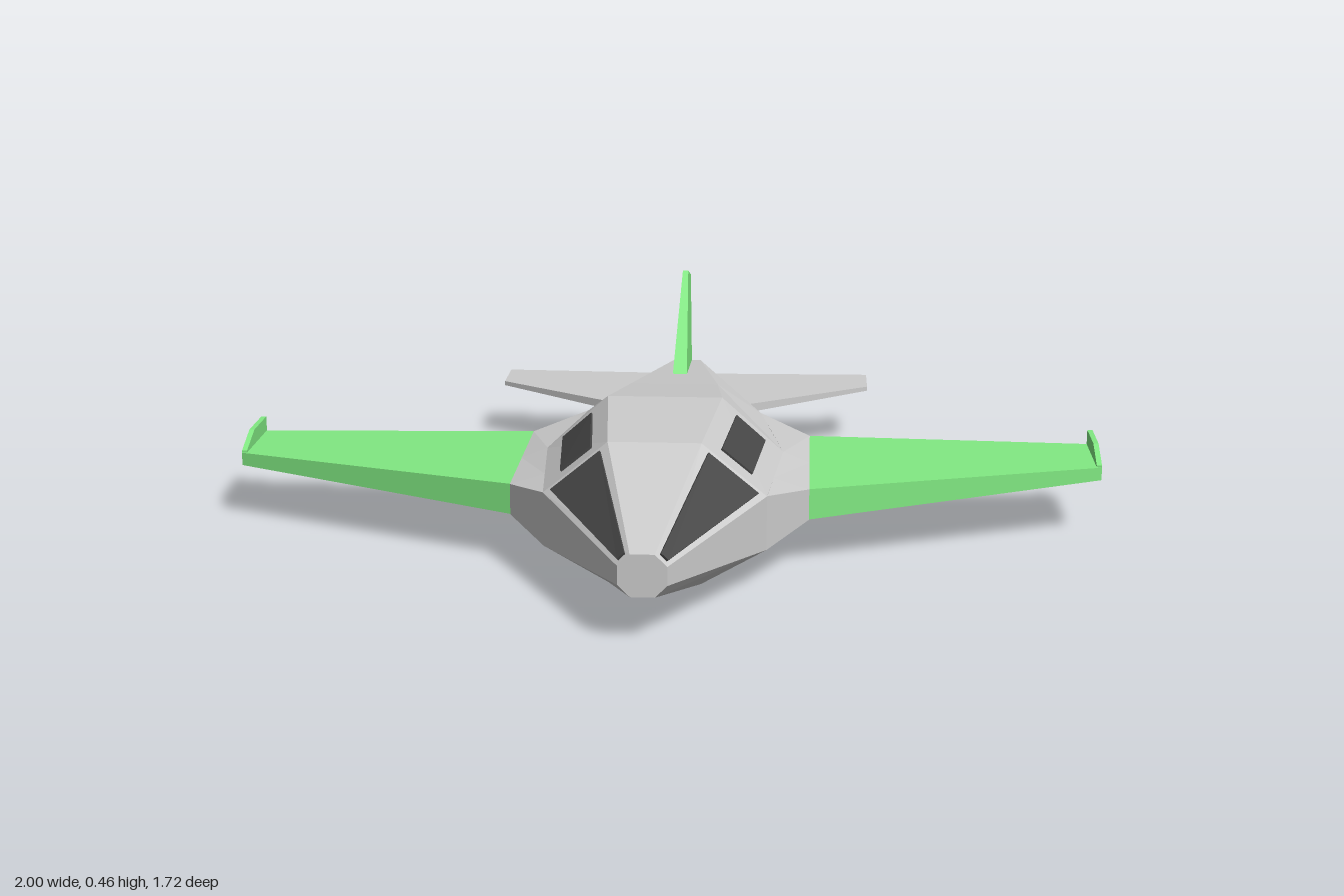
import * as THREE from 'three';

const GREY = 0xcccccc, GREEN = 0x81e982, GLASS = 0x474747;

// Flat-shaded closed solid through rings of equal point count, facing outward.
function loft(name, color, rings) {
  const tris = [], n = rings[0].length, last = rings.length - 1;
  for (let i = 0; i < last; i++) {
    for (let j = 0; j < n; j++) {
      const k = (j + 1) % n, a = rings[i], b = rings[i + 1];
      tris.push([a[j], a[k], b[k]], [a[j], b[k], b[j]]);
    }
  }
  for (let j = 1; j < n - 1; j++) {
    tris.push([rings[0][0], rings[0][j + 1], rings[0][j]]);
    tris.push([rings[last][0], rings[last][j], rings[last][j + 1]]);
  }
  // A negative volume means the faces point inward
  const v = (p) => new THREE.Vector3(...p);
  const c = v(rings[0][0]);
  let volume = 0;
  for (const t of tris) {
    const [p, q, r] = t.map((x) => v(x).sub(c));
    volume += p.dot(q.cross(r));
  }
  if (volume < 0) tris.forEach((t) => t.reverse());

  const geo = new THREE.BufferGeometry();
  geo.setAttribute('position', new THREE.Float32BufferAttribute(tris.flat(2), 3));
  geo.computeVertexNormals();
  const mesh = new THREE.Mesh(geo, new THREE.MeshStandardMaterial({ color, flatShading: true }));
  mesh.name = name;
  return mesh;
}

// Fuselage stations: z, side half-width, roof half-width, bottom, lower edge, upper edge, top
const STATIONS = [
  [0.86, 0.05, 0.025, 0.1, 0.125, 0.165, 0.19],
  [0.5, 0.24, 0.1, 0.005, 0.085, 0.205, 0.32],
  [0.15, 0.27, 0.13, 0, 0.085, 0.205, 0.33],
  [-0.21, 0.21, 0.105, 0.025, 0.105, 0.2, 0.27],
  [-0.79, 0.06, 0.035, 0.1, 0.125, 0.165, 0.19],
];

const octagon = ([z, w, r, y0, y1, y2, y3]) => [
  [r, y0, z], [w, y1, z], [w, y2, z], [r, y3, z],
  [-r, y3, z], [-w, y2, z], [-w, y1, z], [-r, y0, z],
];

// Thin pane on the sloping upper panel between stations i and i + 1;
// corners are [along the panel, up the panel], each 0 to 1.
function pane(name, s, i, corners) {
  const [a, b] = [STATIONS[i], STATIONS[i + 1]].map(([z, w, r, , , y2, y3]) =>
    [new THREE.Vector3(w, y2, z), new THREE.Vector3(r, y3, z)]);
  const pts = corners.map(([u, t]) =>
    a[0].clone().lerp(a[1], t).lerp(b[0].clone().lerp(b[1], t), u));
  const normal = pts[2].clone().sub(pts[0]).cross(pts[3].clone().sub(pts[1])).normalize();
  if (normal.x < 0) normal.negate();
  const ring = (d) => pts.map((p) => {
    const q = p.clone().addScaledVector(normal, d);
    return [s * q.x, q.y, q.z];
  });
  return loft(name, GLASS, [ring(-0.006), ring(0.005)]);
}

// Four-cornered chord section of a wing at x
const chord = (x, zFront, zBack, y0, y1) =>
  [[x, y0, zFront], [x, y1, zFront], [x, y1, zBack], [x, y0, zBack]];

export function createModel() {
  const model = new THREE.Group();
  model.name = 'aircraft';
  model.add(loft('fuselage', GREY, STATIONS.map(octagon)));

  for (const [side, s] of [['left', 1], ['right', -1]]) {
    // Wing root fairing: z, inner x, outer x, inner low/high y, outer low/high y
    const fairing = [
      [0.5, 0.235, 0.24, 0.085, 0.205, 0.085, 0.205],
      [0.36, 0.252, 0.33, 0.085, 0.205, 0.11, 0.18],
      [0.15, 0.27, 0.33, 0.085, 0.205, 0.11, 0.18],
      [-0.08, 0.232, 0.33, 0.098, 0.202, 0.11, 0.18],
      [-0.21, 0.205, 0.21, 0.105, 0.2, 0.105, 0.2],
    ].map(([z, xi, xo, a, b, c, d]) =>
      [[s * xi, a, z], [s * xi, b, z], [s * xo, d, z], [s * xo, c, z]]);
    model.add(loft(side + 'WingRoot', GREY, fairing));

    // Main wing and its upturned tip
    model.add(loft(side + 'Wing', GREEN, [
      chord(s * 0.325, 0.36, -0.08, 0.11, 0.18),
      chord(s * 1, 0.08, -0.12, 0.13, 0.16),
    ]));
    const tip = (x) => [[x, 0.14, 0.078], [x, 0.165, 0.078], [x, 0.195, 0],
      [x, 0.195, -0.12], [x, 0.14, -0.12]];
    model.add(loft(side + 'Winglet', GREEN, [tip(s * 0.988), tip(s)]));

    // Tailplane
    model.add(loft(side + 'Tailplane', GREY, [
      chord(s * 0.04, -0.36, -0.765, 0.133, 0.159),
      chord(s * 0.48, -0.68, -0.81, 0.14, 0.151),
    ]));

    // Windscreen and side window
    model.add(pane(side + 'Windscreen', s, 0,
      [[0.03, 0.25], [0.96, 0.09], [0.96, 0.88], [0.03, 0.75]]));
    model.add(pane(side + 'SideWindow', s, 1,
      [[0.14, 0.28], [0.88, 0.28], [0.88, 0.75], [0.14, 0.75]]));
  }

  // Tail fin, thinner towards the top
  model.add(loft('tailFin', GREEN, [
    [[-0.018, 0.235, -0.43], [0.018, 0.235, -0.43], [0.012, 0.185, -0.79], [-0.012, 0.185, -0.79]],
    [[-0.007, 0.455, -0.69], [0.007, 0.455, -0.69], [0.005, 0.41, -0.86], [-0.005, 0.41, -0.86]],
  ]));
  return model;
}
